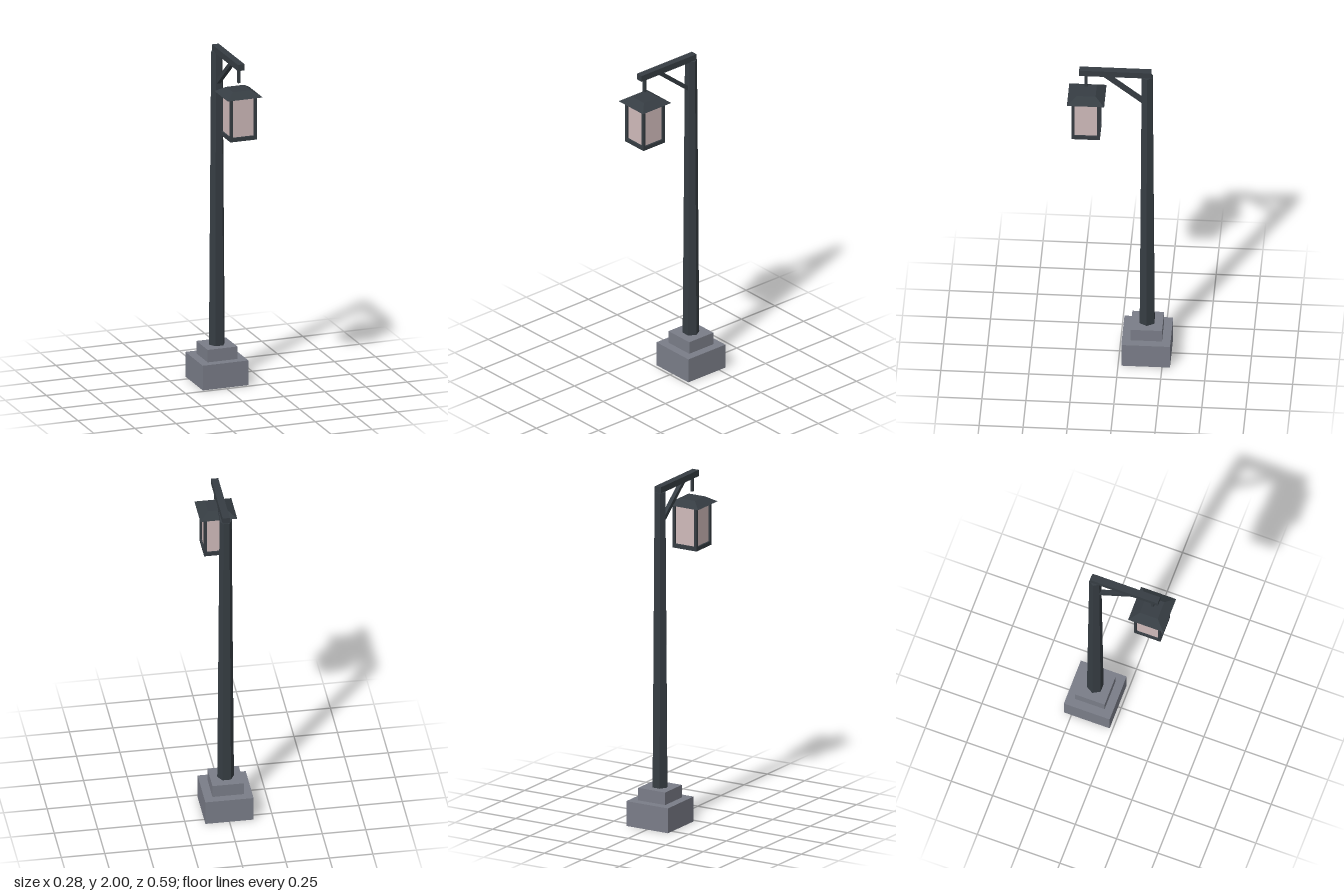
import * as THREE from 'three';

const POLE_Z = -0.157;
const LAMP_Z = 0.187;

export function createModel() {
  const model = new THREE.Group();
  model.name = 'streetLamp';

  const material = (name, color) => {
    const m = new THREE.MeshStandardMaterial({ color });
    m.name = name;
    return m;
  };
  const metal = material('darkMetal', 0x363d43);
  const stone = material('greyStone', 0x7a7d88);
  const glass = material('paleGlass', 0xcfbaba);

  const add = (name, geometry, mat, parent, x, y, z) => {
    const mesh = new THREE.Mesh(geometry, mat);
    mesh.name = name;
    mesh.position.set(x, y, z);
    parent.add(mesh);
    return mesh;
  };
  // Box given by its bottom and top heights
  const block = (name, w, d, y0, y1, mat, parent, x, z) =>
    add(name, new THREE.BoxGeometry(w, y1 - y0, d), mat, parent, x, (y0 + y1) / 2, z);
  // Faceted tapering prism with flat normals
  const prism = (rTop, rBottom, height, sides) => {
    const g = new THREE.CylinderGeometry(rTop, rBottom, height, sides)
      .rotateY(Math.PI / sides).toNonIndexed();
    g.computeVertexNormals();
    return g;
  };

  // Stepped stone footing
  block('basePlinth', 0.277, 0.277, 0, 0.147, stone, model, 0, POLE_Z);
  block('baseStep', 0.18, 0.18, 0.147, 0.221, stone, model, 0, POLE_Z);

  // Tapered hexagonal pole, corners pointing sideways
  add('pole', prism(0.035, 0.048, 1.744, 6), metal, model, 0, 0.221 + 0.872, POLE_Z);

  // Arm, hook rod and diagonal brace
  block('arm', 0.041, 0.41, 1.963, 2, metal, model, 0, 0.024);
  block('hangingRod', 0.015, 0.015, 1.88, 1.965, metal, model, 0, 0.191);
  const from = new THREE.Vector3(0, 1.785, -0.14);
  const to = new THREE.Vector3(0, 1.967, 0.085);
  const brace = add('brace', new THREE.BoxGeometry(0.024, 0.024, from.distanceTo(to)),
    metal, model, 0, 0, 0);
  brace.position.copy(from).add(to).multiplyScalar(0.5);
  brace.lookAt(to);

  // Lantern
  const lantern = new THREE.Group();
  lantern.name = 'lantern';
  lantern.position.z = LAMP_Z;
  model.add(lantern);
  block('lanternFloor', 0.16, 0.16, 1.556, 1.58, metal, lantern, 0, 0);
  block('lanternGlass', 0.14, 0.14, 1.58, 1.8, glass, lantern, 0, 0);
  for (const sx of [-1, 1]) {
    for (const sz of [-1, 1]) {
      block('cornerPost', 0.016, 0.016, 1.58, 1.814, metal, lantern, sx * 0.072, sz * 0.072);
    }
  }
  add('lanternRoof', prism(0.054 * Math.SQRT2, 0.106 * Math.SQRT2, 0.034, 4),
    metal, lantern, 0, 1.828, 0);

  return model;
}
